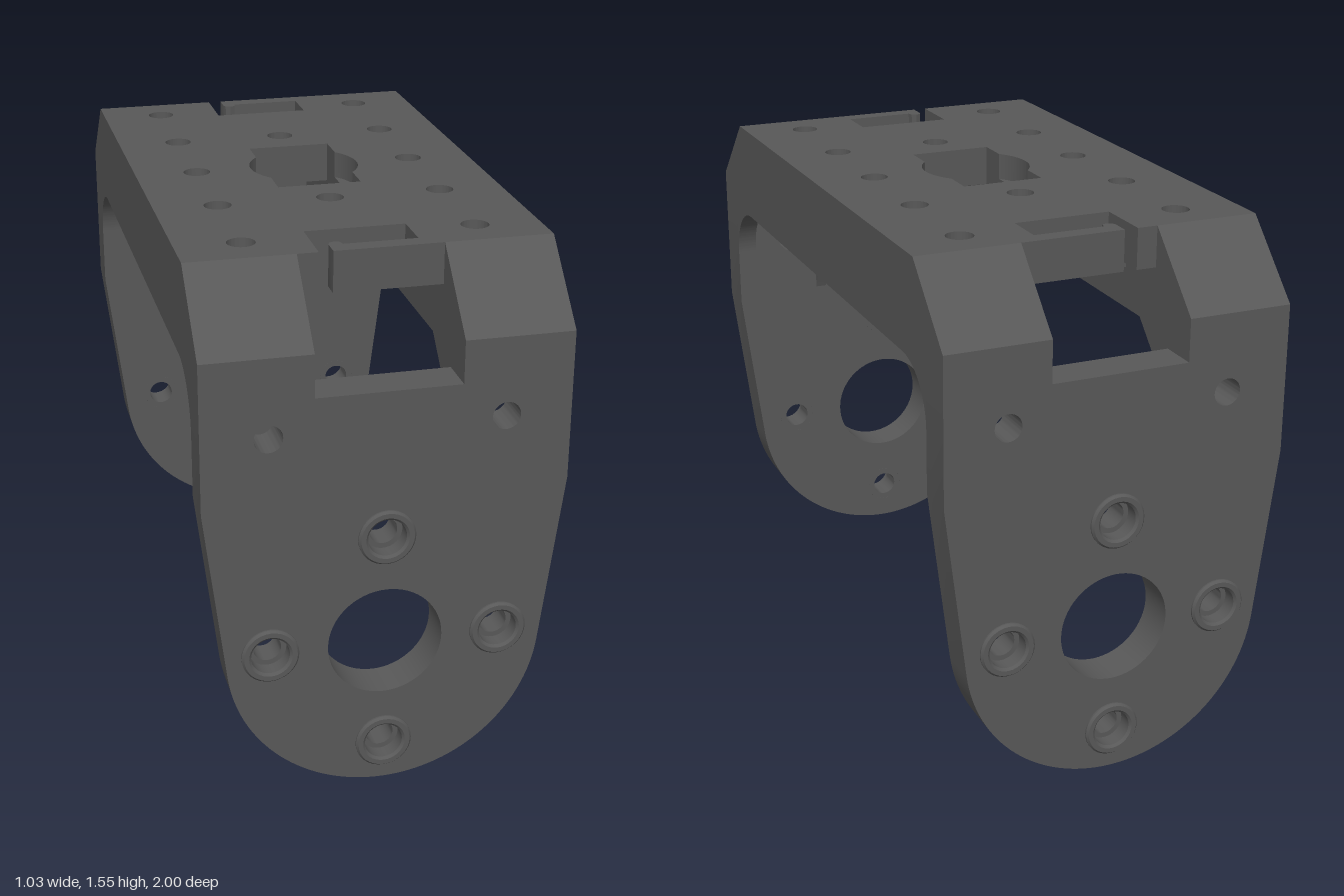
import * as THREE from 'three';
import { toCreasedNormals } from 'three/addons/utils/BufferGeometryUtils.js';

const W = 0.515, SLOT = 0.205;
const V = (pts) => pts.map(([x, y]) => new THREE.Vector2(x, y));
const poly = (pts) => new THREE.Shape(V(pts));

function circle(x, y, r) {
  return new THREE.Path().absarc(x, y, r, 0, Math.PI * 2, true);
}

function extrude(shape, depth) {
  const g = new THREE.ExtrudeGeometry(shape, { depth, bevelEnabled: false, curveSegments: 32 });
  return toCreasedNormals(g, 0.5);
}

export function createModel() {
  const model = new THREE.Group();
  model.name = 'bracket';
  const grey = new THREE.MeshStandardMaterial({ color: 0x585858 });
  grey.name = 'dark grey';

  function add(parent, name, geo) {
    const m = new THREE.Mesh(geo, grey);
    m.name = name;
    parent.add(m);
    return m;
  }
  function box(parent, name, x0, x1, y0, y1, z0, z1) {
    add(parent, name, new THREE.BoxGeometry(x1 - x0, y1 - y0, z1 - z0))
      .position.set((x0 + x1) / 2, (y0 + y1) / 2, (z0 + z1) / 2);
  }
  // side profile swept across x, from x0 to x1
  function sweepX(parent, name, shape, x0, x1) {
    const g = extrude(shape, x1 - x0);
    g.rotateY(Math.PI / 2);
    add(parent, name, g).position.x = x0;
  }
  // plan outline (x, z) swept down from yTop
  function sweepDown(parent, name, shape, yTop, depth) {
    const g = extrude(shape, depth);
    g.rotateX(Math.PI / 2);
    const m = add(parent, name, g);
    m.position.y = yTop;
    return m;
  }

  // top plate, with a hooked clip slot at each end
  const end = [
    [W, 0.785], [-0.105, 0.785], [-0.105, 0.73], [-0.1, 0.717], [-0.085, 0.711],
    [-0.07, 0.717], [-0.066, 0.735], [0.145, 0.735], [0.145, 0.61], [-0.145, 0.61],
    [-0.145, 0.785], [-W, 0.785],
  ];
  const top = poly([...end, ...end.map(([x, z]) => [x, -z]).reverse()]);
  const screws = [[0, 0.33], [0, -0.33]];
  for (const z of [-0.66, -0.33, 0, 0.33, 0.66]) screws.push([-0.33, z], [0.33, z]);
  for (const [x, z] of screws) top.holes.push(circle(x, z, 0.04));

  // central opening: rectangle with a round recess either side
  const a = Math.acos(0.125 / 0.165);
  const opening = new THREE.Path();
  opening.moveTo(-0.125, -0.205);
  opening.lineTo(0.125, -0.205);
  opening.absarc(0, 0, 0.165, -a, a, false);
  opening.lineTo(0.125, 0.205);
  opening.lineTo(-0.125, 0.205);
  opening.absarc(0, 0, 0.165, Math.PI - a, Math.PI + a, false);
  opening.closePath();
  top.holes.push(opening);
  sweepDown(model, 'topPlate', top, 1.55, 0.12);
  for (const s of [-1, 1]) {
    const [x0, x1] = s > 0 ? [0.125, SLOT] : [-SLOT, -0.125];
    box(model, 'recessFloor', x0, x1, 1.365, 1.47, -0.205, 0.205);
  }

  // hexagonal nut pockets under the plate
  const hexPts = (r) => Array.from({ length: 6 }, (_, i) =>
    [r * Math.cos(i * Math.PI / 3), r * Math.sin(i * Math.PI / 3)]);
  for (const [x, z] of screws) {
    const hex = poly(hexPts(0.125));
    hex.holes.push(new THREE.Path(V(hexPts(0.085))));
    const m = sweepDown(model, 'nutPocket', hex, 1.43, 0.065);
    m.position.x = x;
    m.position.z = z;
  }
  for (const s of [-1, 1])
    box(model, 'crossRib', -SLOT, SLOT, 1.38, 1.43, s * 0.595 - 0.015, s * 0.595 + 0.015);

  // outer rims with rounded inner corners
  const rim = new THREE.Shape();
  rim.moveTo(-0.735, 1.43);
  rim.lineTo(-0.87, 1.295);
  rim.lineTo(-0.87, 1.09);
  rim.absarc(-0.7, 1.09, 0.17, Math.PI, Math.PI / 2, true);
  rim.absarc(0.7, 1.09, 0.17, Math.PI / 2, 0, true);
  rim.lineTo(0.87, 1.295);
  rim.lineTo(0.735, 1.43);
  rim.closePath();
  // inner ribs ending in pointed gussets on the legs
  const half = [[0.735, 1.43], [0.87, 1.295], [0.87, 0.93], [0.8, 1.16], [0.7, 1.26]];
  const rib = poly([...half, ...half.map(([z, y]) => [-z, y]).reverse()]);
  sweepX(model, 'sideRim', rim, 0.455, W);
  sweepX(model, 'sideRim', rim, -W, -0.455);
  sweepX(model, 'gussetRib', rib, SLOT, 0.24);
  sweepX(model, 'gussetRib', rib, -0.24, -SLOT);

  // leg outline: straight top, taper, round foot
  const R = 0.455, t = -0.122;
  const leg = new THREE.Shape();
  leg.moveTo(-W, 1.22);
  leg.lineTo(-W, 0.91);
  leg.absarc(0, R, R, Math.PI - t, Math.PI * 2 + t, false);
  leg.lineTo(W, 0.91);
  leg.lineTo(W, 1.22);
  leg.closePath();
  const bosses = [[0, 0.785], [0, 0.125], [-0.33, R], [0.33, R]];
  leg.holes.push(circle(0, R, 0.165), circle(-0.33, 1.115, 0.04), circle(0.33, 1.115, 0.04));
  for (const [x, y] of bosses) leg.holes.push(circle(x, y, 0.06));
  const legGeo = extrude(leg, 0.12);

  // counterbored screw sleeve with a raised lip
  const sleeve = new THREE.LatheGeometry(V([
    [0.06, 0], [0.082, 0.12], [0.082, 0.125], [0.076, 0.132], [0.062, 0.132],
    [0.055, 0.125], [0.055, 0.08], [0.04, 0.08], [0.04, 0], [0.06, 0],
  ]), 32);
  sleeve.rotateX(Math.PI / 2);
  const sleeveGeo = toCreasedNormals(sleeve, 0.5);

  // chamfered corner block beside the corner window
  const corner = poly([
    [-0.785, 1.55], [-0.99, 1.345], [-0.99, 1.22], [-0.87, 1.22],
    [-0.87, 1.295], [-0.735, 1.43], [-0.735, 1.55],
  ]);

  for (const [name, turn] of [['frontLeg', 0], ['backLeg', Math.PI]]) {
    const g = new THREE.Group();
    g.name = name;
    g.rotation.y = turn;
    add(g, 'legPlate', legGeo).position.z = 0.87;
    for (const [x, y] of bosses) add(g, 'screwSleeve', sleeveGeo).position.set(x, y, 0.87);
    sweepX(g, 'cornerBlock', corner, SLOT, W);
    sweepX(g, 'cornerBlock', corner, -W, -SLOT);
    model.add(g);
  }
  return model;
}
